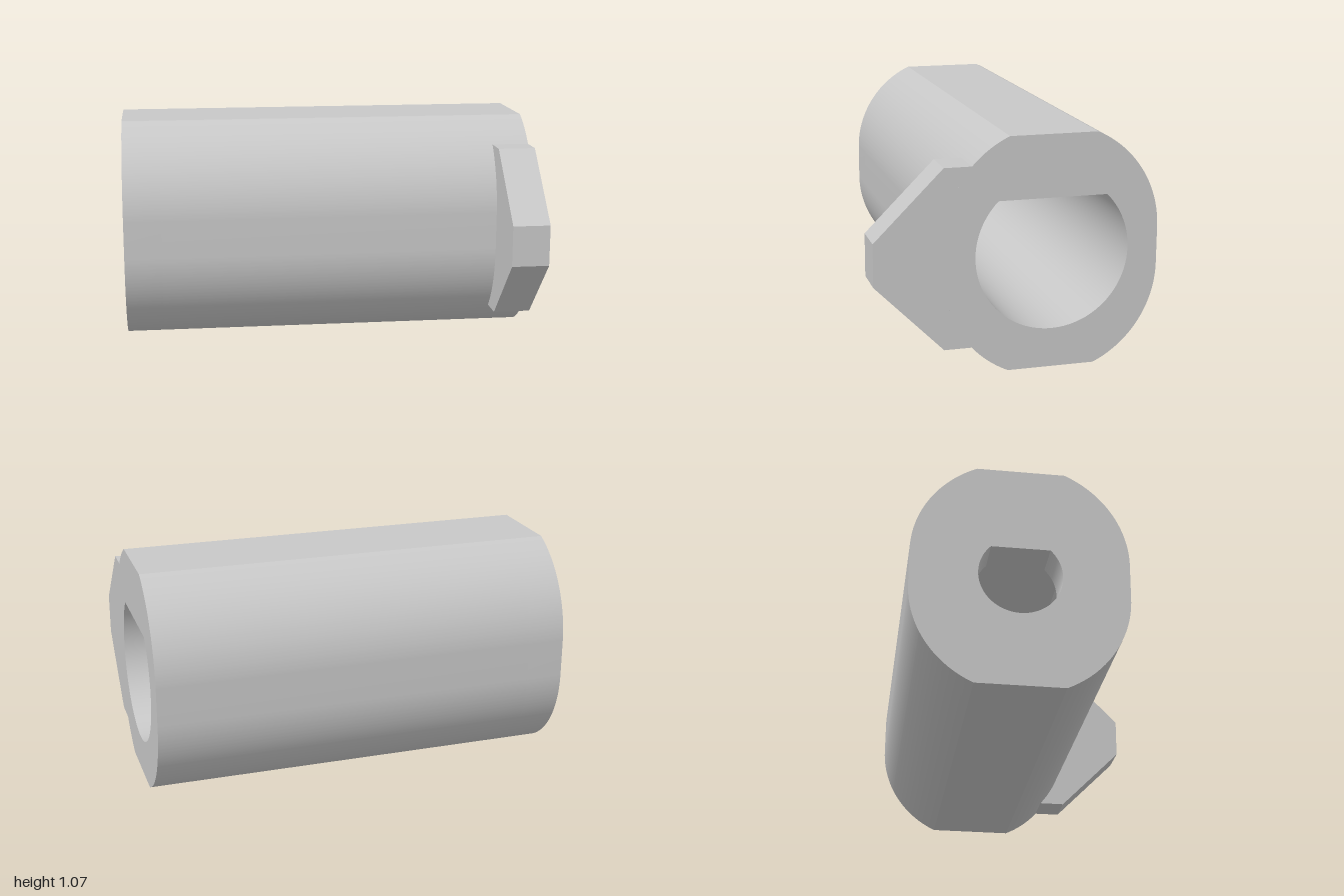
import * as THREE from 'three';
import { toCreasedNormals } from 'three/addons/utils/BufferGeometryUtils.js';

// Cross-sections are drawn around the bore axis: shape x points to the back (-z), shape y is up.
const AXIS_Y = 0.537, AXIS_Z = -0.157;
const R = 0.495;        // radius of the rounded sides
const SHIFT = 0.085;    // half height of the straight side strips
const FLAT = Math.asin((AXIS_Y - SHIFT) / R); // arc angle where the top and bottom flats begin

// Outer barrel outline: rounded sides, flat top and bottom
function outline() {
  const s = new THREE.Shape();
  s.absarc(0, SHIFT, R, 0, FLAT, false);
  s.absarc(0, SHIFT, R, Math.PI - FLAT, Math.PI, false);
  s.absarc(0, -SHIFT, R, Math.PI, Math.PI + FLAT, false);
  s.absarc(0, -SHIFT, R, -FLAT, 0, false);
  s.closePath();
  return s;
}

// Round hole with a 45 degree pointed roof
function teardrop(r) {
  const p = new THREE.Path();
  p.moveTo(0, r * Math.SQRT2);
  p.absarc(0, 0, r, Math.PI * 0.75, Math.PI * 2.25, false);
  p.closePath();
  return p;
}

// Extrude a cross-section along x from x0 to x1
function slab(name, shape, x0, x1, material) {
  const geo = new THREE.ExtrudeGeometry(shape, { depth: x1 - x0, bevelEnabled: false, curveSegments: 40 });
  geo.rotateY(Math.PI / 2);
  geo.translate(x0, AXIS_Y, AXIS_Z);
  const mesh = new THREE.Mesh(toCreasedNormals(geo, 0.35), material);
  mesh.name = name;
  return mesh;
}

export function createModel() {
  const group = new THREE.Group();
  group.name = 'flangedSleeve';
  const grey = new THREE.MeshStandardMaterial({ color: 0xc8c8c8 });
  grey.name = 'light grey';

  // Long barrel with the wide bore
  const barrel = outline();
  barrel.holes.push(teardrop(0.355));
  group.add(slab('barrel', barrel, -0.82, 1, grey));

  // End wall with the narrow bore
  const wall = outline();
  wall.holes.push(teardrop(0.19));
  group.add(slab('endWall', wall, -1, -0.82, grey));

  // Front tab, its inner edge following the barrel
  const h = 0.413, tip = 0.098;
  const a = Math.asin((h - SHIFT) / R);
  const tab = new THREE.Shape();
  tab.moveTo(-0.497, h);
  tab.lineTo(-0.811, tip);
  tab.lineTo(-0.811, -tip);
  tab.lineTo(-0.497, -h);
  tab.absarc(0, -SHIFT, R, Math.PI + a, Math.PI, true);
  tab.absarc(0, SHIFT, R, Math.PI, Math.PI - a, true);
  tab.closePath();
  group.add(slab('frontTab', tab, 0.82, 1, grey));

  return group;
}
